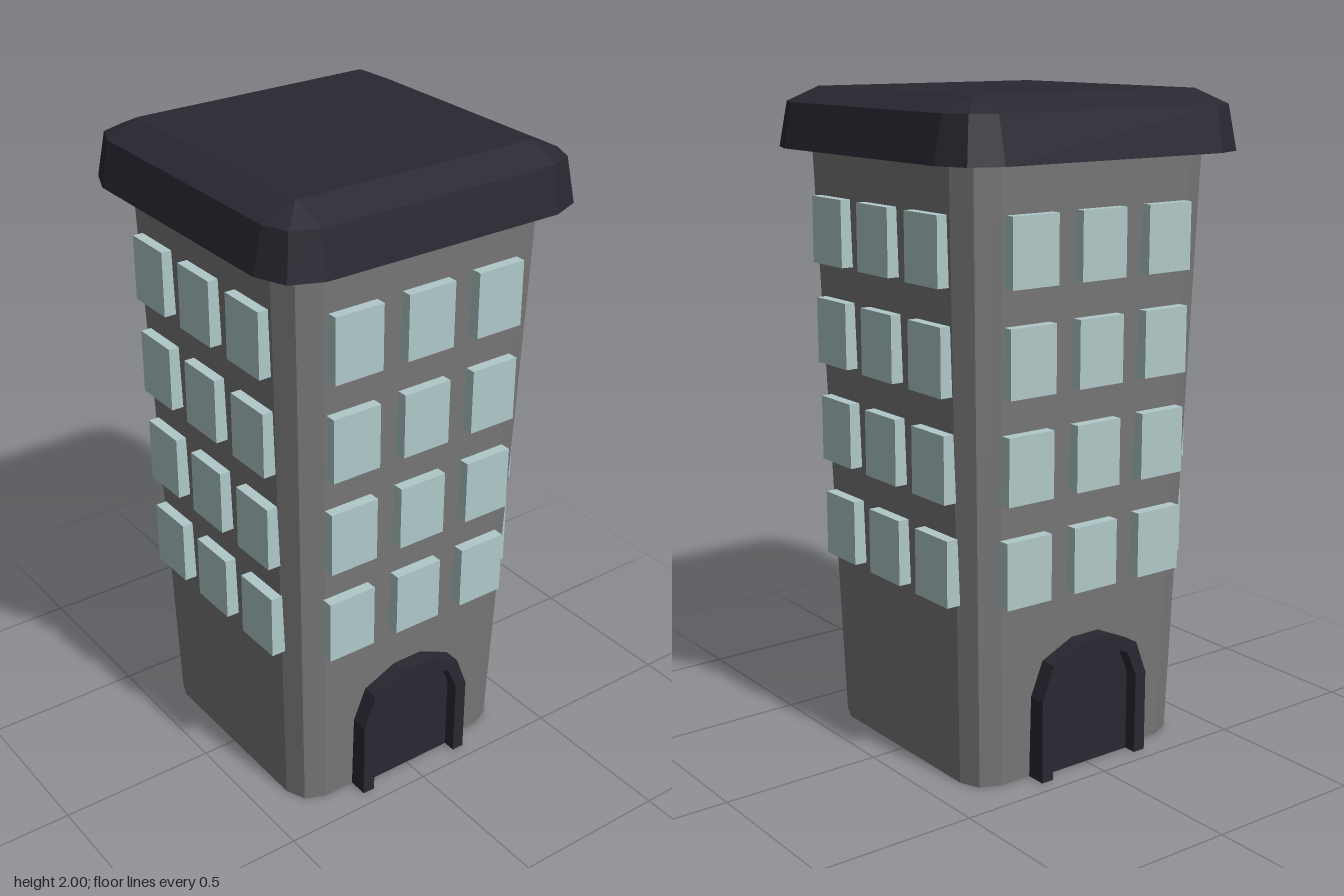
import * as THREE from 'three';

const mat = (color, side = THREE.FrontSide) =>
  new THREE.MeshStandardMaterial({ color, side, flatShading: true });

// Square outline with two-segment rounded corners: half width h, corner radius r
function ring(h, r, y) {
  const pts = [];
  for (let k = 0; k < 4; k++) {
    const cx = (k === 0 || k === 3 ? 1 : -1) * (h - r);
    const cz = (k < 2 ? 1 : -1) * (h - r);
    for (let j = 0; j < 3; j++) {
      const a = (k * 2 + j) * Math.PI / 4;
      pts.push([cx + r * Math.cos(a), y, cz + r * Math.sin(a)]);
    }
  }
  return pts;
}

// Skin between stacked rings, with an optional flat top
function loft(rings, capTop) {
  const pos = [];
  const n = rings[0].length;
  for (let i = 0; i < n; i++) {
    const j = (i + 1) % n;
    for (let s = 0; s + 1 < rings.length; s++) {
      const [lo, hi] = [rings[s], rings[s + 1]];
      pos.push(...lo[i], ...hi[i], ...lo[j], ...lo[j], ...hi[i], ...hi[j]);
    }
    if (capTop) {
      const top = rings[rings.length - 1];
      pos.push(0, top[0][1], 0, ...top[j], ...top[i]);
    }
  }
  const g = new THREE.BufferGeometry();
  g.setAttribute('position', new THREE.Float32BufferAttribute(pos, 3));
  g.computeVertexNormals();
  return g;
}

// Faceted arch outline from half-width, spring height and upper points
const archPoints = (w, spring, shoulderX, shoulderY, topX, topY) => [
  [-w, 0], [w, 0], [w, spring], [shoulderX, shoulderY], [topX, topY],
  [-topX, topY], [-shoulderX, shoulderY], [-w, spring],
].map(p => new THREE.Vector2(...p));

export function createModel() {
  const model = new THREE.Group();
  const dark = mat(0x2a2731);
  const glass = mat(0xb0c8c8);
  const add = (parent, name, geometry, material) => {
    const mesh = new THREE.Mesh(geometry, material);
    mesh.name = name;
    parent.add(mesh);
    return mesh;
  };

  // Hollow tower widening upward, open at the base
  add(model, 'walls', loft([ring(0.39, 0.088, 0), ring(0.443, 0.1, 1.82)], false),
    mat(0x777777, THREE.DoubleSide));

  // Overhanging roof and its pale underside
  add(model, 'roof', loft([
    ring(0.525, 0.135, 1.82), ring(0.498, 0.106, 1.955), ring(0.4, 0.01, 2),
  ], true), dark);
  const soffit = new THREE.ShapeGeometry(
    new THREE.Shape(ring(0.525, 0.135, 0).map(p => new THREE.Vector2(p[0], p[2]))));
  soffit.rotateX(Math.PI / 2);
  add(model, 'roofUnderside', soffit, glass).position.y = 1.82;

  // Four rows of three windows on each side
  const pane = new THREE.BoxGeometry(0.16, 0.2, 0.08);
  for (let side = 0; side < 4; side++) {
    const windows = new THREE.Group();
    windows.name = 'windows';
    windows.rotation.y = side * Math.PI / 2;
    for (let row = 0; row < 4; row++) {
      for (let col = -1; col <= 1; col++) {
        add(windows, 'window', pane, glass)
          .position.set(col * 0.245, 0.662 + row * 0.3067, 0.407 + row * 0.008);
      }
    }
    model.add(windows);
  }

  // Arched doorways on the left and right sides
  const outer = archPoints(0.2, 0.255, 0.16, 0.36, 0.05, 0.41);
  const inner = archPoints(0.16, 0.255, 0.125, 0.335, 0.045, 0.37);
  // The frame is one outline: around the arch outside, then back inside
  const frameShape = new THREE.Shape([
    ...outer.slice(1), outer[0], inner[0], ...inner.slice(1).reverse(),
  ]);
  const frame = new THREE.ExtrudeGeometry(frameShape, { depth: 0.24, bevelEnabled: false });
  const panel = new THREE.ExtrudeGeometry(new THREE.Shape(inner),
    { depth: 0.02, bevelEnabled: false });
  for (const s of [-1, 1]) {
    const door = new THREE.Group();
    door.name = s > 0 ? 'leftDoor' : 'rightDoor';
    door.rotation.y = s * Math.PI / 2;
    add(door, 'doorFrame', frame, dark).position.z = 0.213;
    add(door, 'doorPanel', panel, dark).position.z = 0.392;
    model.add(door);
  }
  return model;
}
